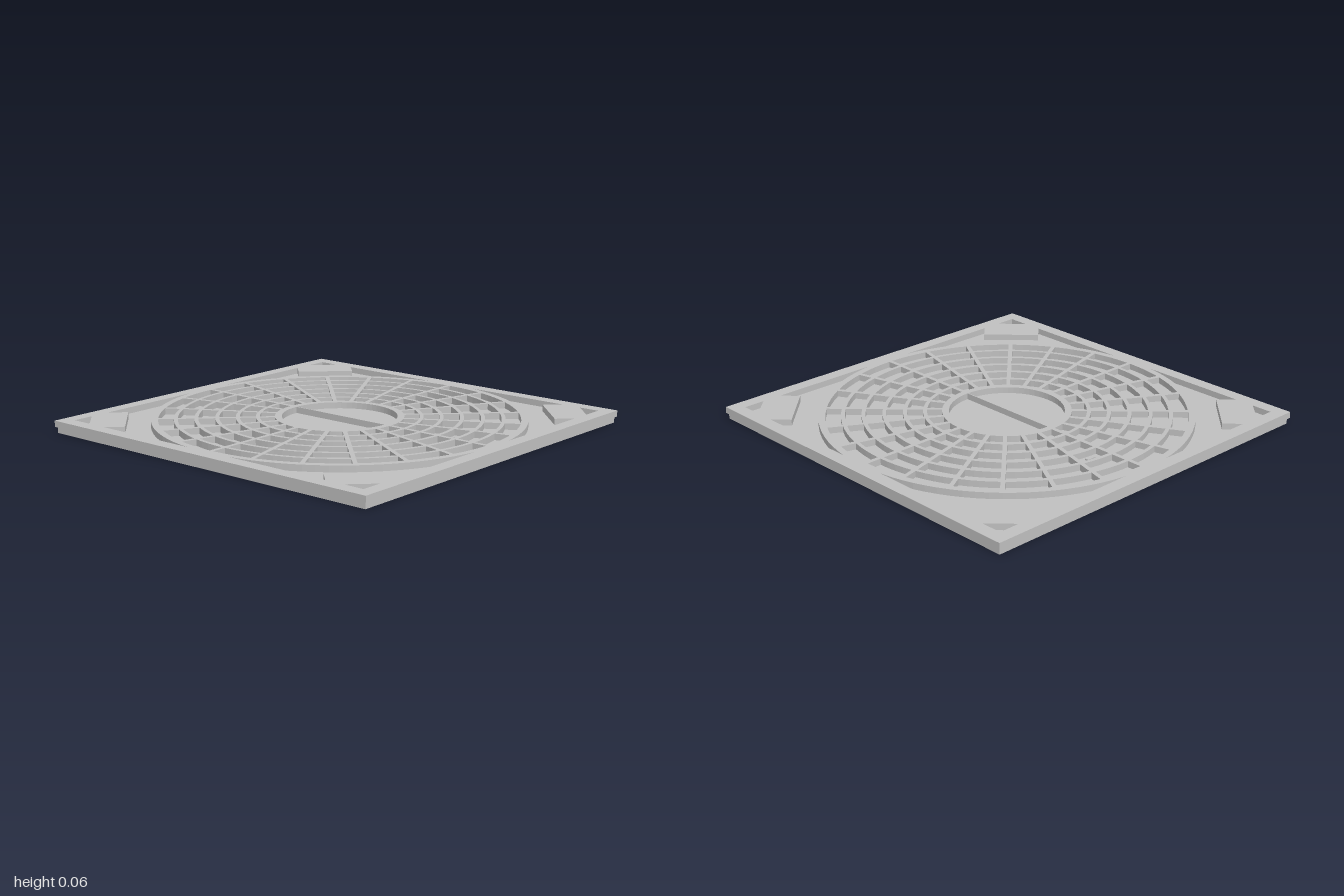
import * as THREE from 'three';

const FLOOR = 0.031, TOP = 0.063;

// Closed path of [x, y] points
function polygon(points) {
  return new THREE.Path(points.map(([x, y]) => new THREE.Vector2(x, y)));
}

// Points along an arc about the origin
function arc(r, a0, a1, n) {
  return Array.from({ length: n + 1 }, (_, i) => {
    const a = a0 + (a1 - a0) * i / n;
    return [r * Math.cos(a), r * Math.sin(a)];
  });
}

export function createModel() {
  const group = new THREE.Group();
  const metal = new THREE.MeshStandardMaterial({ color: 0xc0c0c0 });
  const add = (name, geometry, x = 0, y = 0, z = 0) => {
    const mesh = new THREE.Mesh(geometry, metal);
    mesh.name = name;
    mesh.position.set(x, y, z);
    group.add(mesh);
  };

  // Closed lower slab, also the floor of every pocket
  add('baseSlab', new THREE.BoxGeometry(1.98, FLOOR, 1.98), 0, FLOOR / 2, 0);

  // Upper plate outline
  const plate = new THREE.Shape([[-1, -1], [1, -1], [1, 1], [-1, 1]].map(p => new THREE.Vector2(...p)));

  // Cells between the concentric rings and 24 spokes
  const bands = [[0.325, 0.4], [0.42, 0.5], [0.52, 0.602], [0.622, 0.706], [0.726, 0.808], [0.828, 0.905]];
  const spokes = 24, step = Math.PI * 2 / spokes, half = 0.011;
  for (const [inner, outer] of bands) {
    const di = Math.asin(half / inner), dout = Math.asin(half / outer);
    for (let i = 0; i < spokes; i++) {
      const a = i * step, b = a + step;
      plate.holes.push(polygon([...arc(outer, a + dout, b - dout, 4), ...arc(inner, b - di, a + di, 4)]));
    }
  }

  // Hub pocket
  plate.holes.push(polygon(arc(0.29, 0, Math.PI * 2, 64).slice(0, -1)));

  // Corner pockets: a small triangle, a diagonal bridge, then a pocket against the round rim
  const e = 0.93, rim = 0.94, start = Math.acos(e / rim);
  for (let k = 0; k < 4; k++) {
    const c = Math.round(Math.cos(k * Math.PI / 2)), s = Math.round(Math.sin(k * Math.PI / 2));
    const turn = points => polygon(points.map(([x, y]) => [c * x - s * y, s * x + c * y]));
    plate.holes.push(turn([[e, 0.82], [e, e], [0.82, e]]));
    plate.holes.push(turn([
      ...arc(rim, Math.PI / 2 - start, start, 20),
      [e, 0.715], [0.857, 0.642], [0.642, 0.857], [0.715, e],
    ]));
  }

  const grille = new THREE.ExtrudeGeometry(plate, { depth: TOP - FLOOR, bevelEnabled: false });
  grille.rotateX(-Math.PI / 2);
  add('frameAndGrille', grille, 0, FLOOR, 0);

  // Thin rib across the hub
  add('hubRib', new THREE.BoxGeometry(0.005, TOP - FLOOR, 0.58), 0, (TOP + FLOOR) / 2, 0);

  // Small pads on the floor of two cells
  for (const z of [-0.646, 0.636]) {
    add('floorPad', new THREE.BoxGeometry(0.05, 0.008, 0.02), 0.074, FLOOR + 0.004, z);
  }
  return group;
}
